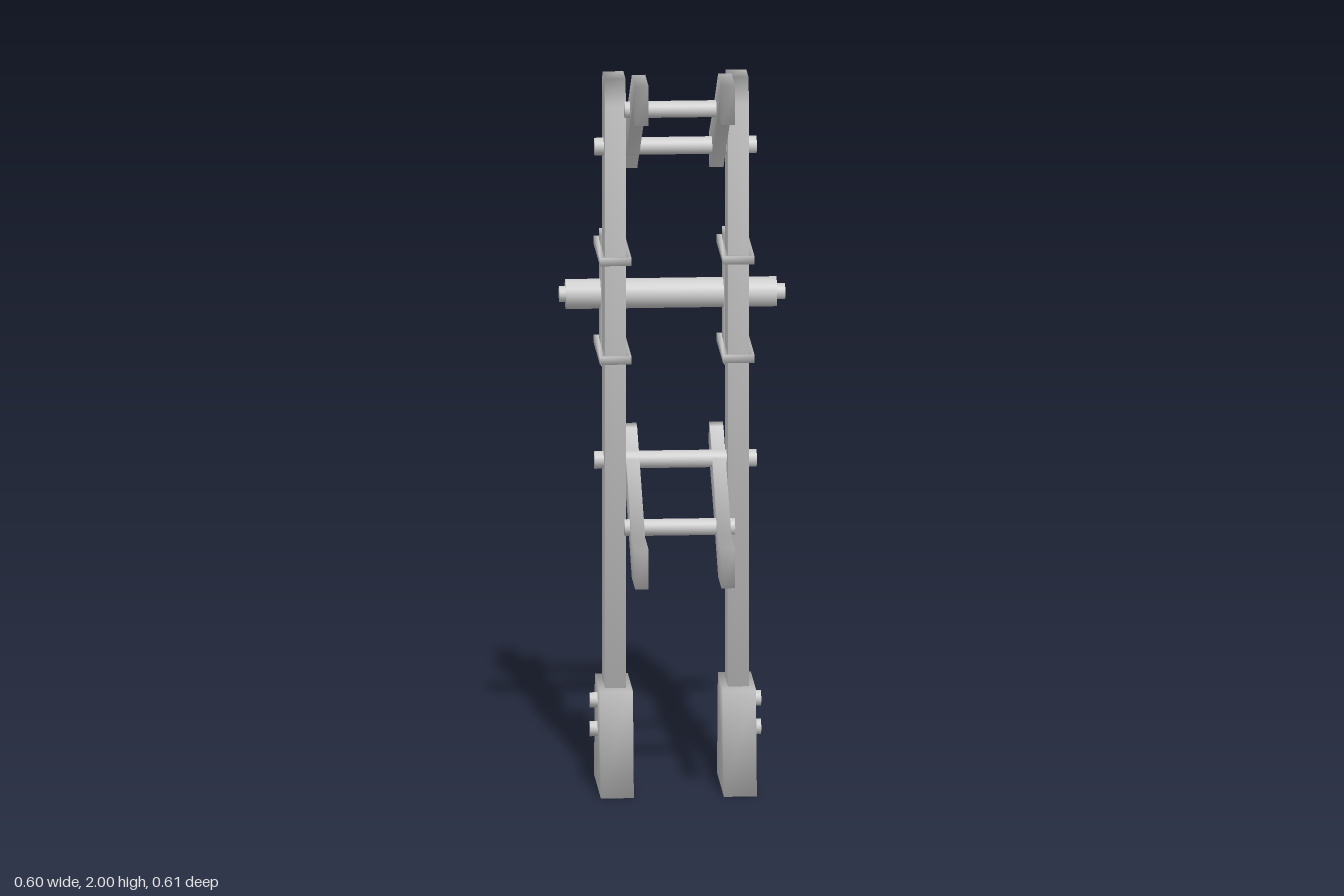
import * as THREE from 'three';
import { mergeVertices } from 'three/addons/utils/BufferGeometryUtils.js';

const material = new THREE.MeshStandardMaterial({ color: 0xcccccc });

// Shares normals across edges for a soft, low-poly look
function smooth(geometry) {
  geometry.deleteAttribute('uv');
  geometry.deleteAttribute('normal');
  const merged = mergeVertices(geometry, 1e-4);
  merged.computeVertexNormals();
  return merged;
}

function add(parent, name, geometry) {
  const mesh = new THREE.Mesh(smooth(geometry), material);
  mesh.name = name;
  parent.add(mesh);
  return mesh;
}

// Side profile given as [z, y] points, extruded to a width centred on x
function plate(points, width, x) {
  const shape = new THREE.Shape(points.map(([z, y]) => new THREE.Vector2(z, y)));
  const geometry = new THREE.ExtrudeGeometry(shape, { depth: width, bevelEnabled: false });
  return geometry.translate(0, 0, -width / 2).rotateY(-Math.PI / 2).translate(x, 0, 0);
}

// Round bar along x
function bar(x0, x1, y, z, radius) {
  const geometry = new THREE.CylinderGeometry(radius, radius, x1 - x0, 12);
  return geometry.rotateZ(Math.PI / 2).translate((x0 + x1) / 2, y, z);
}

// Rectangular band lying flat around a post and its block
function band(x, y) {
  const rect = (path, w, z0, z1) => path.moveTo(-w, -z0).lineTo(w, -z0).lineTo(w, -z1).lineTo(-w, -z1).closePath();
  const shape = new THREE.Shape();
  rect(shape, 0.042, -0.03, -0.304);
  const hole = new THREE.Path();
  rect(hole, 0.03, -0.04, -0.292);
  shape.holes.push(hole);
  const geometry = new THREE.ExtrudeGeometry(shape, { depth: 0.022, bevelEnabled: false });
  return geometry.translate(0, 0, -0.011).rotateX(-Math.PI / 2).translate(x, y, 0);
}

const POST = [[-0.04, 0.2], [-0.04, 1.87], [-0.062, 1.94], [-0.153, 1.94], [-0.175, 1.87], [-0.175, 0.2]];
const FOOT = [[0.04, 0], [0.003, 0.283], [-0.217, 0.283], [-0.254, 0]];
const BLOCK = [[-0.175, 1.13], [-0.278, 1.13], [-0.29, 1.145], [-0.29, 1.47], [-0.278, 1.485], [-0.175, 1.485]];
const HOOK = [[0.302, 2], [0.16, 2], [-0.03, 1.87], [-0.225, 1.755], [-0.245, 1.71],
  [-0.217, 1.662], [-0.185, 1.668], [0.155, 1.892], [0.302, 1.892]];

export function createModel() {
  const model = new THREE.Group();
  model.name = 'uprightFrame';

  for (const s of [-1, 1]) {
    const side = new THREE.Group();
    side.name = s > 0 ? 'leftSide' : 'rightSide';
    model.add(side);
    const x = s * 0.164;

    // Post on a flared foot
    add(side, 'post', plate(POST, 0.056, x));
    add(side, 'foot', plate(FOOT, 0.088, x));
    for (const y of [0.157, 0.235]) {
      add(side, 'footBolt', bar(x + s * 0.022 - 0.042, x + s * 0.022 + 0.042, y, -0.112, 0.021));
    }

    // Axle block strapped to the back of the post
    add(side, 'axleBlock', plate(BLOCK, 0.058, x));
    for (const y of [1.178, 1.447]) add(side, 'strap', band(x, y));

    // Bent arms: upper, and lower mirrored in height
    add(side, 'upperArm', plate(HOOK, 0.036, s * 0.115));
    add(side, 'lowerArm', plate(HOOK.map(([z, y]) => [z, 2.628 - y]), 0.036, s * 0.115));
  }

  // Rods joining the arms and the posts
  for (const y of [1.745, 0.89]) add(model, 'postRod', bar(-0.216, 0.216, y, -0.11, 0.024));
  for (const y of [1.885, 0.745]) add(model, 'armRod', bar(-0.147, 0.147, y, 0.071, 0.023));

  // Axle with thinner pins at the ends
  add(model, 'axle', bar(-0.285, 0.277, 1.315, -0.237, 0.041));
  add(model, 'axlePin', bar(-0.302, 0.3, 1.315, -0.237, 0.022));

  return model;
}
